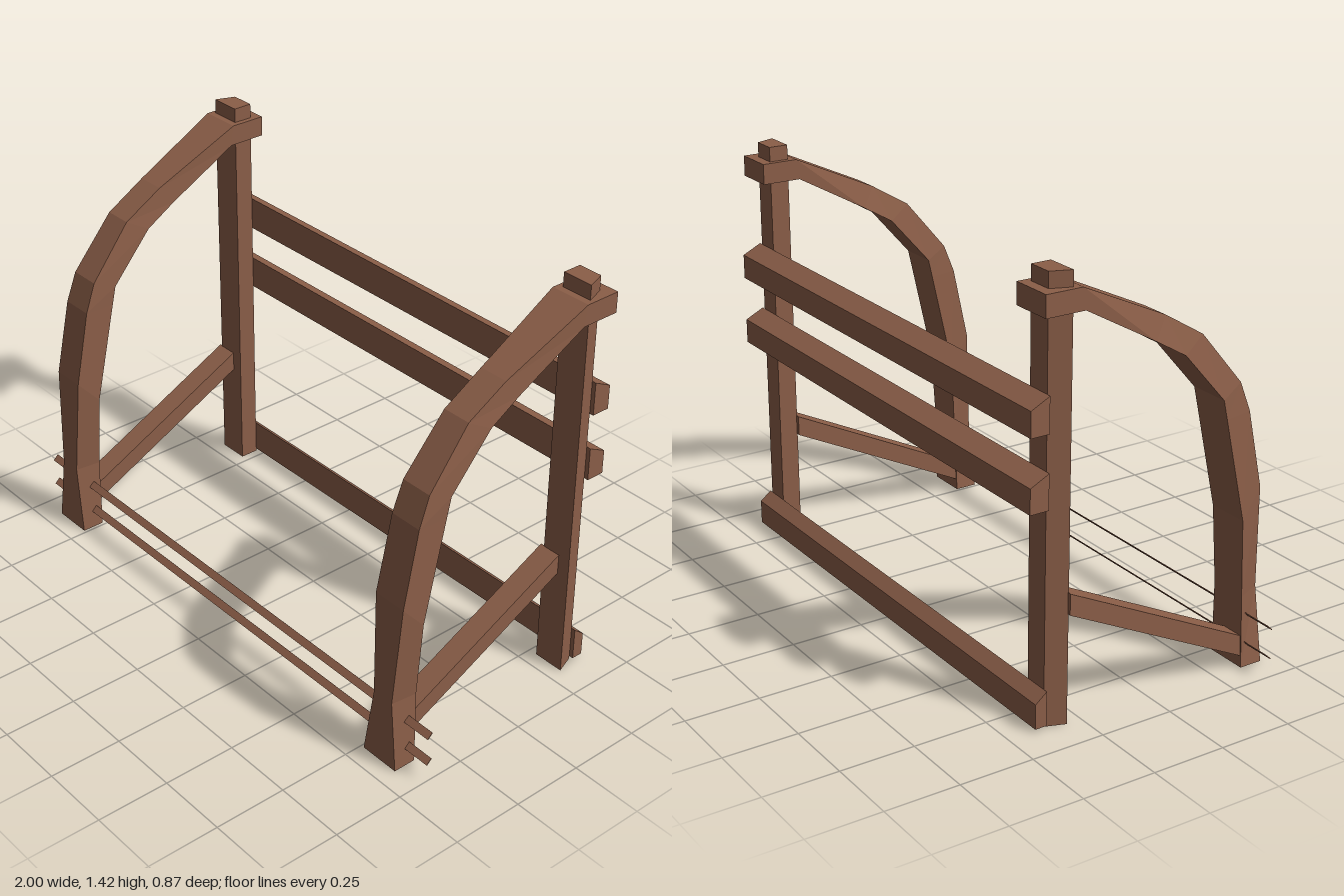
import * as THREE from 'three';

const wood = new THREE.MeshStandardMaterial({ color: 0x8b5e48, flatShading: true });
wood.name = 'brownWood';

// Skins a series of four-cornered rings and caps both ends
function loft(name, rings) {
  const pos = [];
  const quad = (a, b, c, d) => pos.push(...a, ...b, ...c, ...a, ...c, ...d);
  for (let i = 0; i < rings.length - 1; i++) {
    for (let j = 0; j < 4; j++) {
      const k = (j + 1) % 4;
      quad(rings[i][j], rings[i][k], rings[i + 1][k], rings[i + 1][j]);
    }
  }
  const s = rings[0], e = rings[rings.length - 1];
  quad(s[3], s[2], s[1], s[0]);
  quad(e[0], e[1], e[2], e[3]);
  const geo = new THREE.BufferGeometry();
  geo.setAttribute('position', new THREE.Float32BufferAttribute(pos, 3));
  geo.computeVertexNormals();
  const mesh = new THREE.Mesh(geo, wood);
  mesh.name = name;
  return mesh;
}

// Straight bar along x from a [z, y] profile
const barX = (name, x0, x1, profile) =>
  loft(name, [x0, x1].map(x => profile.map(([z, y]) => [x, y, z])));

// Upright from an [x, z] profile
const upright = (name, y0, y1, profile) =>
  loft(name, [y0, y1].map(y => profile.map(([x, z]) => [x, y, z])));

// Hewn arch sections: outer z, y; inner z, y; outer edge x pair; inner edge x pair
const archSections = [
  [0.435, 0, 0.355, 0, -0.072, 0.072, -0.072, 0.072],
  [0.435, 0.25, 0.345, 0.25, -0.03, 0.05, -0.072, 0.06],
  [0.415, 0.60, 0.335, 0.51, -0.052, 0.068, -0.072, 0.072],
  [0.36, 0.86, 0.255, 0.86, -0.05, 0.066, -0.072, 0.07],
  [0.32, 0.96, 0.24, 0.925, -0.05, 0.062, -0.072, 0.07],
  [0.17, 1.14, 0.09, 1.095, -0.046, 0.055, -0.072, 0.068],
  [0.03, 1.225, -0.02, 1.16, -0.045, 0.058, -0.072, 0.066],
  [-0.28, 1.37, -0.27, 1.30, -0.072, 0.072, -0.072, 0.072],
  [-0.405, 1.37, -0.405, 1.30, -0.072, 0.072, -0.072, 0.072],
];

export function createModel() {
  const group = new THREE.Group();
  group.name = 'timberRack';

  // Rear posts with one bevelled outer corner
  group.add(upright('rightPost', 0, 1.42,
    [[-0.89, -0.303], [-0.78, -0.303], [-0.78, -0.37], [-0.865, -0.37]]));
  group.add(upright('leftPost', 0, 1.42,
    [[0.78, -0.303], [0.89, -0.303], [0.865, -0.37], [0.78, -0.37]]));

  // Curved arches and diagonal braces, the same piece repeated on each side
  for (const [side, cx] of [['right', -0.833], ['left', 0.833]]) {
    group.add(loft(side + 'Arch', archSections.map(([oz, oy, iz, iy, ol, or, il, ir]) => [
      [cx + ol, oy, oz], [cx + or, oy, oz], [cx + ir, iy, iz], [cx + il, iy, iz],
    ])));
    group.add(barX(side + 'Brace', cx - 0.068, cx + 0.012,
      [[0.355, 0.04], [-0.305, 0.367], [-0.305, 0.437], [0.355, 0.11]]));
  }

  // Back rails with sloping tops: base height and rear edge
  for (const [name, y, z] of [
    ['topRail', 0.945, -0.435], ['middleRail', 0.71, -0.435], ['bottomRail', 0.01, -0.41],
  ]) {
    group.add(barX(name, -0.88, 0.88,
      [[-0.37, y], [z, y], [z, y + 0.083], [-0.37, y + 0.115]]));
  }

  // Thin tilted slats across the front
  for (const [name, y] of [['upperSlat', 0.173], ['lowerSlat', 0.072]]) {
    const slat = new THREE.Mesh(new THREE.BoxGeometry(2, 0.003, 0.026), wood);
    slat.name = name;
    slat.position.set(0, y, 0.383);
    slat.rotation.x = 0.75;
    group.add(slat);
  }
  return group;
}
